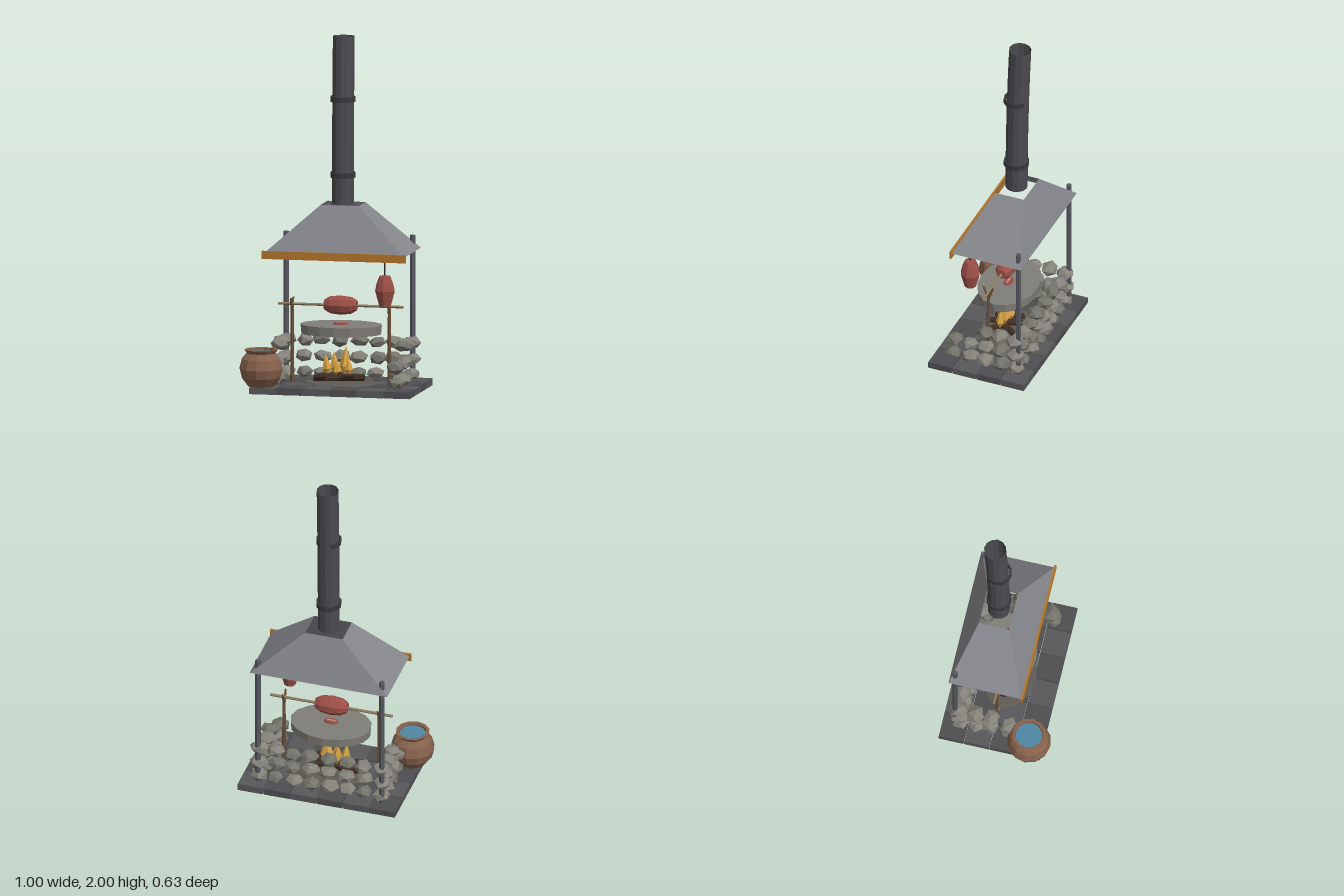
import * as THREE from 'three';

const V = (x, y, z) => new THREE.Vector3(x, y, z);
const mat = (color, double) => new THREE.MeshStandardMaterial({
  color, flatShading: true, side: double ? THREE.DoubleSide : THREE.FrontSide });
const M = {
  tileA: mat(0x58585b), tileB: mat(0x4e4e51), stone: mat(0x85837b), stoneDark: mat(0x74746c),
  hood: mat(0x85868b, true), pipe: mat(0x4b4b50, true), band: mat(0x38383c, true),
  post: mat(0x56585e), beam: mat(0xb0752c), wood: mat(0x6b5038), spit: mat(0x8f7c62),
  meat: mat(0x9c4f47), cut: mat(0xc98f80), slab: mat(0x807d77), pot: mat(0x86624c, true),
  water: mat(0x4f86a3), log: mat(0x3f2e24), flame: mat(0xd9a545), ash: mat(0x5f5a54), wire: mat(0x3a3633),
};

export function createModel() {
  const root = new THREE.Group();
  let seed = 7;
  const rnd = () => (seed = (seed * 16807) % 2147483647) / 2147483647;
  const jit = (a) => (rnd() - 0.5) * 2 * a;

  const add = (name, geo, material, x = 0, y = 0, z = 0, parent = root) => {
    const m = new THREE.Mesh(geo, material);
    m.name = name;
    m.position.set(x, y, z);
    parent.add(m);
    return m;
  };
  const group = (name) => {
    const g = new THREE.Group();
    g.name = name;
    root.add(g);
    return g;
  };
  // Tapered rod between two points
  const rod = (name, a, b, r0, r1, material, sides = 6, parent = root) => {
    const d = b.clone().sub(a), c = a.clone().add(b).multiplyScalar(0.5);
    const m = add(name, new THREE.CylinderGeometry(r1, r0, d.length(), sides), material, c.x, c.y, c.z, parent);
    m.quaternion.setFromUnitVectors(V(0, 1, 0), d.normalize());
    return m;
  };
  const lathe = (pts, sides) => new THREE.LatheGeometry(pts.map(([r, y]) => new THREE.Vector2(r, y)), sides);

  // Paved base
  const base = group('pavedBase');
  for (let i = 0; i < 6; i++) for (let j = 0; j < 4; j++) {
    const h = 0.038 + jit(0.003);
    add('pavingTile', new THREE.BoxGeometry(0.15, h, 0.142), (i + j) % 2 ? M.tileA : M.tileB,
      -0.3525 + i * 0.155, h / 2, -0.247 + j * 0.147, base);
  }

  // Dry stone walls: back and two stepped sides
  const walls = group('stoneWalls');
  const stone = (x, y, z) => {
    const s = add('stone', new THREE.IcosahedronGeometry(1, 0).rotateZ(jit(3)).rotateX(jit(3)),
      rnd() < 0.7 ? M.stone : M.stoneDark, x + jit(0.008), y + jit(0.005), z + jit(0.008), walls);
    s.scale.set(0.054 + jit(0.006), 0.037 + jit(0.004), 0.052 + jit(0.006));
    s.rotation.set(jit(0.1), jit(0.3), jit(0.12));
  };
  for (let row = 0; row < 3; row++) {
    const y = 0.068 + row * 0.092;
    for (let i = 0; i < 8; i++) stone(-0.32 + i * 0.103, y, -0.225);
    const n = [4, 4, 2][row];
    for (const x of [-0.32, 0.39])
      for (let i = 0; i < n; i++) stone(x, y, -0.13 + i * 0.093);
  }

  // Rear posts
  for (const x of [-0.33, 0.4])
    add('post', new THREE.CylinderGeometry(0.016, 0.016, 0.82, 6), M.post, x, 0.45, -0.245);

  // Hood: open four-sided frustum
  const hoodGeo = new THREE.CylinderGeometry(Math.SQRT1_2, Math.SQRT1_2, 1, 4, 1, true).rotateY(Math.PI / 4);
  const hp = hoodGeo.attributes.position;
  for (let i = 0; i < hp.count; i++) {
    const x = hp.getX(i), z = hp.getZ(i);
    if (hp.getY(i) > 0) hp.setXYZ(i, 0.035 + x * 0.22, 1.05, -0.082 + z * 0.175);
    else hp.setXYZ(i, 0.035 + x * 0.81, 0.785, -0.065 + z * 0.42);
  }
  hoodGeo.computeVertexNormals();
  add('hood', hoodGeo, M.hood);
  add('hoodBeam', new THREE.BoxGeometry(0.83, 0.045, 0.013), M.beam, 0.035, 0.777, 0.15);

  // Chimney pipe, leaning back in its upper part
  const pipeGeo = new THREE.CylinderGeometry(0.063, 0.063, 0.95, 12, 5, true);
  const pp = pipeGeo.attributes.position;
  for (let i = 0; i < pp.count; i++) {
    const t = pp.getY(i) + 0.475;
    pp.setZ(i, pp.getZ(i) - 0.022 * t * t / 0.9);
    if (t > 0.94) pp.setY(i, pp.getY(i) + pp.getZ(i) * 0.04);
  }
  pipeGeo.computeVertexNormals();
  add('chimneyPipe', pipeGeo, M.pipe, 0.035, 1.525, -0.079);
  for (const y of [1.215, 1.645])
    add('chimneyBand', lathe([[0.062, -0.015], [0.072, -0.015], [0.072, 0.015], [0.062, 0.015], [0.062, -0.015]], 12),
      M.band, 0.035, y, -0.078);

  // Forked sticks and the roasting spit
  const spitZ = -0.025;
  for (const x of [-0.245, 0.315]) {
    const fork = group('forkedStick');
    rod('stick', V(x, 0.035, spitZ), V(x, 0.45, spitZ), 0.012, 0.009, M.wood, 6, fork);
    for (const s of [-1, 1])
      rod('prong', V(x, 0.44, spitZ), V(x, 0.515, spitZ + s * 0.03), 0.009, 0.006, M.wood, 5, fork);
  }
  rod('spit', V(-0.325, 0.48, spitZ), V(0.395, 0.48, spitZ), 0.008, 0.008, M.spit);
  add('roast', lathe([[0, -0.093], [0.03, -0.093], [0.049, -0.06], [0.056, 0], [0.049, 0.06], [0.03, 0.093], [0, 0.093]], 9)
    .rotateZ(-Math.PI / 2), M.meat, 0.035, 0.482, spitZ);

  // Hanging meat
  rod('hangingWire', V(0.315, 0.66, 0.085), V(0.315, 0.82, 0.085), 0.004, 0.004, M.wire, 5);
  add('hangingMeat', lathe([[0, 0], [0.034, 0], [0.057, 0.085], [0.047, 0.13], [0.031, 0.17], [0, 0.175]], 8),
    M.meat, 0.315, 0.5, 0.085);

  // Cooking slab with a steak
  const slab = add('cookingSlab', new THREE.CylinderGeometry(0.235, 0.23, 0.052, 16), M.slab, 0.035, 0.345, -0.035);
  slab.scale.z = 0.73;
  const steak = add('steak', new THREE.CylinderGeometry(0.04, 0.045, 0.012, 8), M.meat, 0.035, 0.375, -0.03);
  steak.scale.z = 0.6;
  add('steakFat', new THREE.BoxGeometry(0.05, 0.004, 0.01), M.cut, 0.035, 0.382, -0.03);

  // Fire: ash bed, logs and flames
  const fire = group('fire');
  const ash = add('ashBed', new THREE.CylinderGeometry(0.2, 0.21, 0.008, 12), M.ash, 0.03, 0.043, -0.02, fire);
  ash.scale.z = 0.75;
  for (let i = 0; i < 5; i++) {
    const a = 0.15 + i * Math.PI / 5, c = Math.cos(a) * 0.15, s = Math.sin(a) * 0.09, y = 0.062 + (i % 3) * 0.01;
    rod('log', V(0.03 - c, y, -0.01 - s), V(0.03 + c, y + 0.012, -0.01 + s), 0.018, 0.016, M.log, 6, fire);
  }
  for (const [x, z, h, r] of [[-0.035, 0, 0.13, 0.028], [0.005, -0.025, 0.14, 0.03], [0.025, 0.012, 0.1, 0.026],
    [0.062, -0.012, 0.175, 0.036], [0.09, 0.0, 0.12, 0.026]]) {
    const f = add('flame', lathe([[0, 0], [r, h * 0.35], [r * 0.6, h * 0.65], [0, h]], 5), M.flame, x, 0.078, z, fire);
    f.rotation.set(jit(0.1), jit(3), (x < 0.02 ? 1 : -1) * 0.08);
  }

  // Water pot
  const pot = group('waterPot');
  pot.position.set(-0.375, 0.038, 0.192);
  add('potBody', lathe([[0, 0], [0.075, 0], [0.112, 0.05], [0.125, 0.1], [0.11, 0.155], [0.082, 0.188],
    [0.096, 0.208], [0.078, 0.208], [0.074, 0.18]], 12), M.pot, 0, 0, 0, pot);
  add('water', new THREE.CircleGeometry(0.078, 12).rotateX(-Math.PI / 2), M.water, 0, 0.192, 0, pot);

  return root;
}
